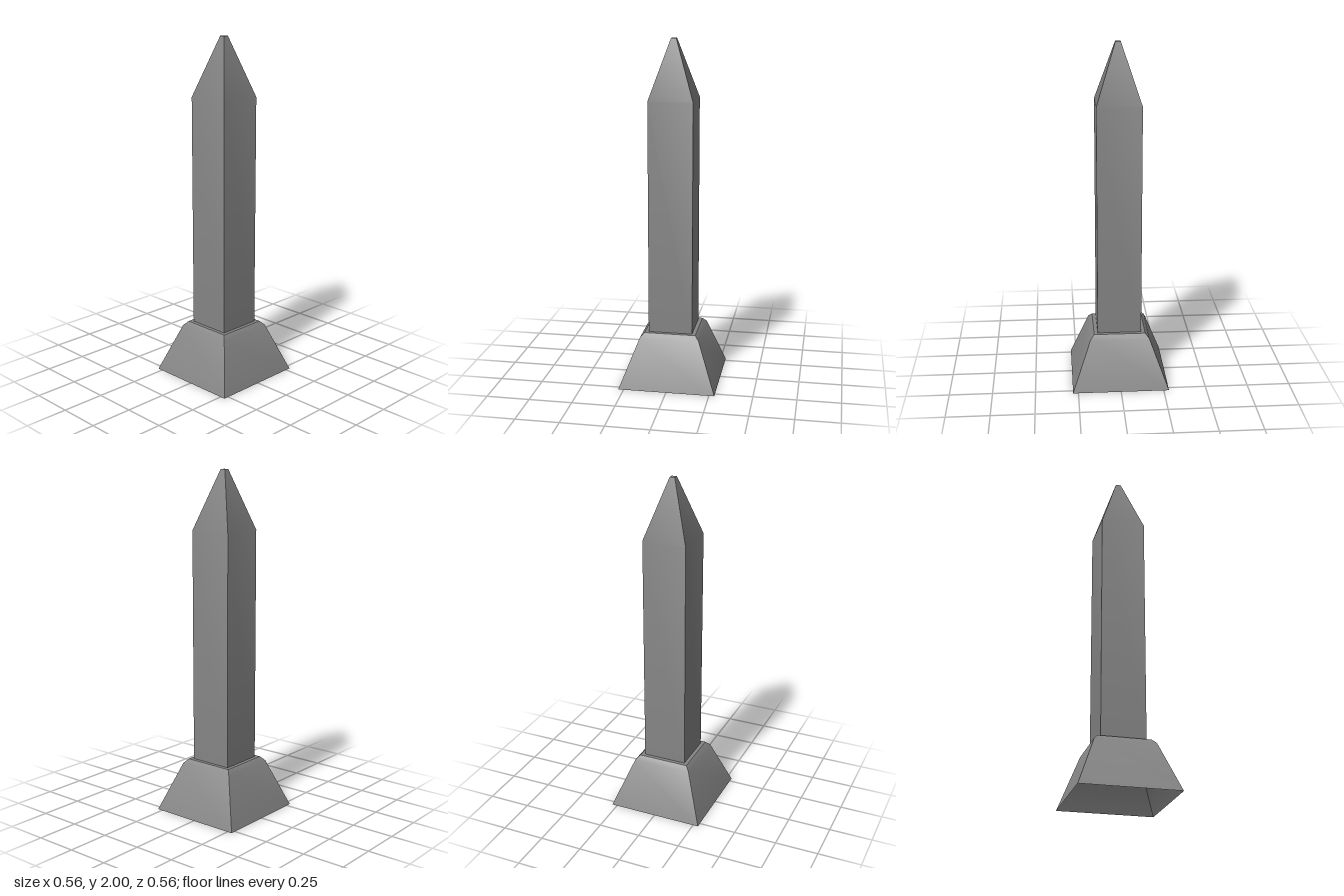
import * as THREE from 'three';
import { toCreasedNormals } from 'three/addons/utils/BufferGeometryUtils.js';

// Square-plan solid from a profile of [half width, height], bottom to top
function squareLoft(name, profile, material) {
  const points = profile.map(([half, y]) => new THREE.Vector2(half * Math.SQRT2, y));
  const lathe = new THREE.LatheGeometry(points, 4, Math.PI / 4);
  const mesh = new THREE.Mesh(toCreasedNormals(lathe, THREE.MathUtils.degToRad(32)), material);
  mesh.name = name;
  return mesh;
}

export function createModel() {
  const group = new THREE.Group();
  group.name = 'obelisk';
  const stone = new THREE.MeshStandardMaterial({ color: 0x858585, side: THREE.DoubleSide });

  // Flared pedestal, hollow underneath, with a bevelled top edge
  group.add(squareLoft('pedestal', [
    [0.281, 0], [0.173, 0.285], [0.15, 0.31], [0, 0.31],
  ], stone));

  // Square shaft shading smoothly into its pointed cap, with a small flat tip
  group.add(squareLoft('shaft', [
    [0.128, 0.31], [0.128, 1.66], [0.015, 2], [0, 2],
  ], stone));

  return group;
}
